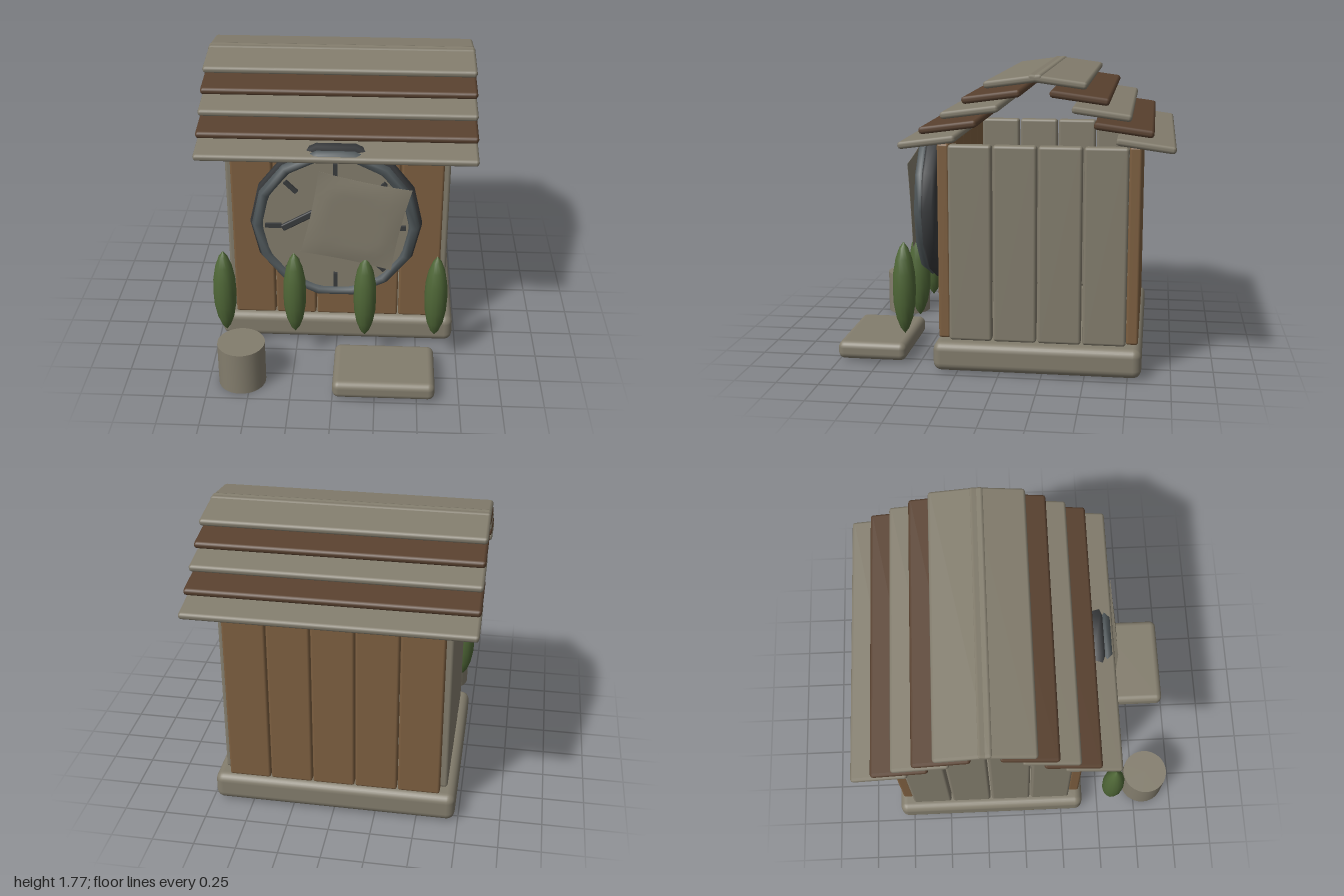
import * as THREE from 'three';
import { RoundedBoxGeometry } from 'three/addons/geometries/RoundedBoxGeometry.js';

const material = (name, color) => {
  const m = new THREE.MeshStandardMaterial({ color });
  m.name = name;
  return m;
};

export function createModel() {
  const stone = material('weathered grey', 0x837d6d);
  const wood = material('warm wood', 0x7d5f40);
  const darkWood = material('dark wood', 0x59412f);
  const leaf = material('leaf green', 0x4f6737);
  const iron = material('dark iron', 0x393b3d);
  const steel = material('blue grey metal', 0x50585b);

  const model = new THREE.Group();
  model.name = 'clockHouse';
  const add = (name, geometry, mat, x, y, z, parent = model) => {
    const mesh = new THREE.Mesh(geometry, mat);
    mesh.name = name;
    mesh.position.set(x, y, z);
    parent.add(mesh);
    return mesh;
  };
  const slab = (w, h, d, r, s = 2) => new RoundedBoxGeometry(w, h, d, s, r);
  const midZ = -0.22;

  // Foundation and doorstep
  add('foundation', slab(1.46, 0.175, 1.22, 0.05, 3), stone, 0, 0.098, midZ);
  add('doorstep', slab(0.605, 0.11, 0.42, 0.04, 3), stone, 0.303, 0.07, 0.79);

  // Plank walls: wood at front and back, grey at the sides
  for (const s of [1, -1]) {
    for (let i = 0; i < 5; i++) {
      add('wallPlank', slab(0.25, 1.16, 0.07, 0.015), wood, (i - 2) * 0.2555, 0.77, midZ + s * 0.552);
    }
    for (let i = 0; i < 4; i++) {
      add('sidePlank', slab(0.07, 1.16, 0.252, 0.018), stone, s * 0.642, 0.77, midZ + (i - 1.5) * 0.2605);
    }
  }

  // Overlapping roof boards stepping down from the ridge
  for (const s of [1, -1]) {
    for (let i = 0; i < 5; i++) {
      const board = add('roofBoard', slab(1.64, 0.042, 0.332, 0.018, 1), i % 2 ? darkWood : stone,
        0, 1.725 - i * 0.086, midZ + s * (0.122 + i * 0.122));
      board.rotation.x = s * 0.135;
    }
  }

  // Clock
  const clock = new THREE.Group();
  clock.name = 'clock';
  clock.position.set(0, 0.92, 0);
  model.add(clock);

  const drumProfile = [[0, 0.41], [0.485, 0.41], [0.51, 0.43], [0.51, 0.48], [0.485, 0.5], [0, 0.5]]
    .map(([r, y]) => new THREE.Vector2(r, y));
  const drum = new THREE.LatheGeometry(drumProfile, 14, Math.PI / 2);
  drum.rotateX(Math.PI / 2);
  add('clockDrum', drum, iron, 0, 0, 0, clock);

  const rim = add('clockRim', new THREE.TorusGeometry(0.462, 0.035, 6, 14), steel, 0, 0, 0.508, clock);
  rim.scale.z = 1.05;

  const face = new THREE.CylinderGeometry(0.43, 0.43, 0.03, 40);
  face.rotateX(Math.PI / 2);
  add('clockFace', face, stone, 0, 0, 0.507, clock);

  // Eight hour marks
  for (let i = 0; i < 8; i++) {
    const a = (i * Math.PI) / 4;
    const mark = add('hourMark', new THREE.BoxGeometry(0.095, 0.026, 0.02), iron,
      Math.cos(a) * 0.367, Math.sin(a) * 0.367, 0.53, clock);
    mark.rotation.z = a;
  }

  // Hand and hub
  const hand = add('clockHand', slab(0.42, 0.042, 0.022, 0.008), iron, -0.13, 0.1, 0.552, clock);
  hand.rotation.z = 0.52;
  const hub = new THREE.CylinderGeometry(0.05, 0.05, 0.045, 16);
  hub.rotateX(Math.PI / 2);
  add('clockHub', hub, iron, 0, 0, 0.55, clock);

  // Thin cushioned panel hanging in front of the dial
  const panel = new THREE.BoxGeometry(2, 2, 2, 10, 10, 1);
  const p = panel.attributes.position;
  for (let i = 0; i < p.count; i++) {
    const u = p.getX(i), v = p.getY(i);
    const bulge = Math.min(1, 2.6 * (1 - u * u) * (1 - v * v));
    const pinch = (t) => 1 - 0.04 * (1 - t * t);
    p.setXYZ(i, u * 0.275 * pinch(v), v * 0.275 * pinch(u), Math.sign(p.getZ(i)) * (0.001 + 0.011 * bulge));
  }
  panel.computeVertexNormals();
  const plate = add('frontPanel', panel, stone, 0.12, 0.065, 0.582, clock);
  plate.rotation.z = -0.205;

  // Spindle shrubs
  const shrubProfile = [[0, -0.28], [0.026, -0.245], [0.05, -0.18], [0.066, -0.09], [0.07, 0],
    [0.066, 0.09], [0.05, 0.18], [0.026, 0.245], [0, 0.28]].map(([r, y]) => new THREE.Vector2(r, y));
  const shrub = new THREE.LatheGeometry(shrubProfile, 14);
  [-0.67, -0.245, 0.18, 0.607].forEach((x, i) => {
    add('shrub', shrub, leaf, x, i === 2 ? 0.465 : 0.48, 0.577);
  });

  // Round stump
  add('stump', new THREE.CylinderGeometry(0.142, 0.142, 0.275, 32), stone, -0.55, 0.1375, 0.815);

  return model;
}
